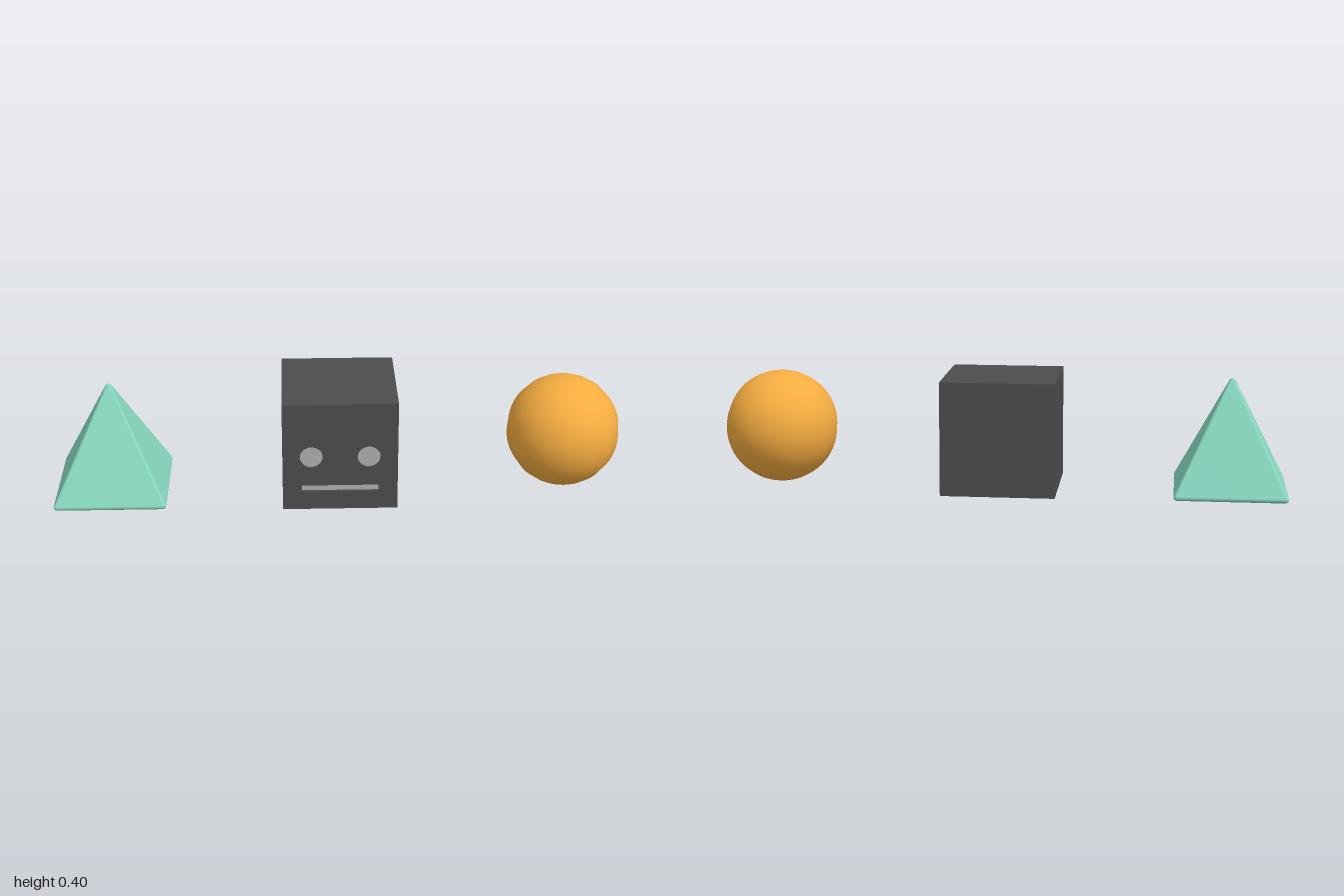
import * as THREE from 'three';
import { mergeVertices } from 'three/addons/utils/BufferGeometryUtils.js';
import { ConvexGeometry } from 'three/addons/geometries/ConvexGeometry.js';

const HALF = 0.2; // half size of every solid
const RECESS = 0.01; // depth of the face features

function addMesh(parent, name, geometry, color, x = 0, y = 0, z = 0) {
  const mesh = new THREE.Mesh(geometry, new THREE.MeshStandardMaterial({ color }));
  mesh.name = name;
  mesh.position.set(x, y, z);
  parent.add(mesh);
  return mesh;
}

// Square pyramid with softly rounded edges: the hull of five small balls
function roundedPyramid(half, height, r) {
  const ball = new THREE.SphereGeometry(r, 12, 8).getAttribute('position');
  const b = half - r;
  const centres = [[-b, r, -b], [b, r, -b], [b, r, b], [-b, r, b], [0, height - r, 0]];
  const points = [];
  for (const c of centres) {
    for (let i = 0; i < ball.count; i++) {
      points.push(new THREE.Vector3().fromBufferAttribute(ball, i).add(new THREE.Vector3(...c)));
    }
  }
  let geometry = new ConvexGeometry(points);
  geometry.deleteAttribute('normal');
  geometry = mergeVertices(geometry, 1e-5);
  geometry.computeVertexNormals();
  return geometry;
}

// Cube whose front plate is pierced by two eyes and a mouth
function faceCube() {
  const cube = new THREE.Group();
  cube.name = 'faceCube';
  const dark = 0x4d4d4d, light = 0xb0b0b0;
  const eyeX = 0.1, eyeR = 0.04, mouthW = 0.133, mouthLow = -0.131, mouthHigh = -0.108;

  const rectangle = (path, x, y0, y1) =>
    path.moveTo(-x, y0).lineTo(x, y0).lineTo(x, y1).lineTo(-x, y1).closePath();
  const plate = rectangle(new THREE.Shape(), HALF, -HALF, HALF);
  plate.holes.push(rectangle(new THREE.Path(), mouthW, mouthLow, mouthHigh));
  for (const side of [-1, 1]) {
    plate.holes.push(new THREE.Path().absarc(side * eyeX, 0, eyeR, 0, Math.PI * 2, true));
  }

  const front = HALF - RECESS;
  addMesh(cube, 'cubeBody', new THREE.BoxGeometry(2 * HALF, 2 * HALF, 2 * HALF - RECESS), dark, 0, 0, -RECESS / 2);
  addMesh(cube, 'facePlate',
    new THREE.ExtrudeGeometry(plate, { depth: RECESS, bevelEnabled: false, curveSegments: 16 }), dark, 0, 0, front);

  // Light inlays at the bottom of the recesses
  const inlayZ = front + 0.001;
  for (const [name, side] of [['rightEye', -1], ['leftEye', 1]]) {
    addMesh(cube, name, new THREE.CircleGeometry(eyeR, 32), light, side * eyeX, 0, inlayZ);
  }
  addMesh(cube, 'mouth', new THREE.PlaneGeometry(2 * mouthW, mouthHigh - mouthLow), light,
    0, (mouthLow + mouthHigh) / 2, inlayZ);
  return cube;
}

export function createModel() {
  const model = new THREE.Group();
  model.name = 'threeSolids';

  addMesh(model, 'pyramid', roundedPyramid(0.196, 0.4, 0.012), 0x88d8c0, -0.804);

  const cube = faceCube();
  cube.position.y = HALF;
  model.add(cube);

  addMesh(model, 'ball', new THREE.SphereGeometry(HALF, 16, 32), 0xf5ac40, 0.8, HALF);
  return model;
}
